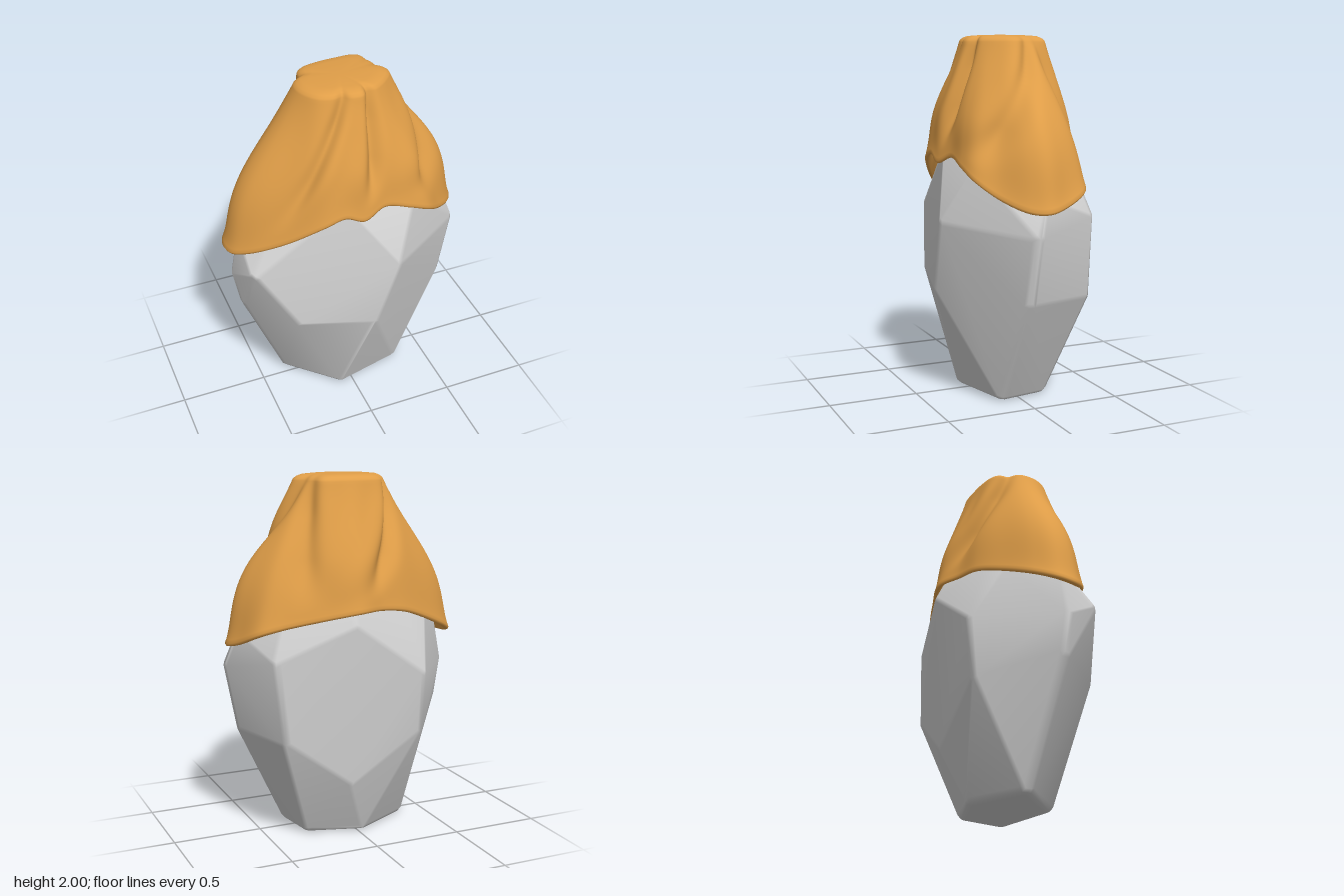
import * as THREE from 'three';
import { ConvexGeometry } from 'three/addons/geometries/ConvexGeometry.js';
import { mergeVertices } from 'three/addons/utils/BufferGeometryUtils.js';

const stoneGrey = new THREE.MeshStandardMaterial({ color: 0xd0d0d0 });
const clothOrange = new THREE.MeshStandardMaterial({ color: 0xe09e48 });
const { lerp, smoothstep, degToRad } = THREE.MathUtils;

// Corners of the cut stone
const STONE = [
  // base
  [0.335, 0, 0.11], [0.295, 0, -0.16], [-0.03, 0, -0.27], [-0.365, 0, -0.075], [-0.085, 0, 0.225],
  // waist
  [0.06, 0.62, 0.408], [-0.39, 0.66, 0.295], [0.605, 0.61, 0.07], [0.48, 0.6, -0.325],
  [0.1, 0.34, -0.372], [-0.34, 0.59, -0.362], [-0.615, 0.69, 0.02],
  // shoulder
  [0.2, 1.0, 0.418], [-0.6, 0.99, 0.205], [0.675, 0.96, 0.06], [0.53, 1.03, -0.315],
  [0.1, 1.2, -0.422], [-0.34, 0.92, -0.395], [-0.655, 0.9, 0.03],
  // upper part under the cloth
  [0.34, 1.28, 0.28], [-0.1, 1.36, 0.29], [0.62, 1.14, 0], [-0.61, 1.14, 0.03],
  [-0.43, 1.22, -0.21], [-0.27, 1.28, -0.275], [0.25, 1.28, -0.325], [0.46, 1.22, -0.26],
  [0.08, 1.4, -0.33], [0.2, 1.65, 0], [-0.2, 1.65, 0],
];

// Hull of small balls set at the corners gives softened edges
function stoneGeometry() {
  const radius = 0.05;
  const ball = mergeVertices(new THREE.IcosahedronGeometry(radius, 1).deleteAttribute('normal').deleteAttribute('uv'));
  const pos = ball.getAttribute('position'), points = [];
  for (const [x, y, z] of STONE) {
    const inset = 1 - radius / Math.hypot(x, z);
    const p = new THREE.Vector3(x * inset, Math.max(y, radius), z * inset);
    for (let i = 0; i < pos.count; i++) points.push(new THREE.Vector3().fromBufferAttribute(pos, i).add(p));
  }
  const hull = new ConvexGeometry(points);
  hull.deleteAttribute('normal');
  const g = mergeVertices(hull, 1e-4);
  g.computeVertexNormals();
  return g;
}

// Lower edge of the cloth
const HEM = [
  [0.68, 1.095, 0], [0.64, 1.1, 0.09], [0.52, 1.16, 0.21], [0.4, 1.25, 0.31], [0.28, 1.31, 0.335],
  [0.13, 1.355, 0.335], [0, 1.315, 0.365], [-0.11, 1.355, 0.36], [-0.22, 1.32, 0.35],
  [-0.42, 1.2, 0.255], [-0.6, 1.11, 0.14], [-0.67, 1.08, 0.06], [-0.68, 1.085, -0.04],
  [-0.6, 1.13, -0.14], [-0.42, 1.21, -0.25], [-0.25, 1.27, -0.325], [-0.1, 1.29, -0.36],
  [0.06, 1.29, -0.42], [0.25, 1.26, -0.375], [0.45, 1.22, -0.31], [0.58, 1.18, -0.25], [0.65, 1.12, -0.11],
];
// Gathered top edge of the cloth
const CROWN = [
  [0.27, 1.96, 0], [0.22, 1.96, 0.1], [0.08, 1.96, 0.19], [-0.06, 1.96, 0.19], [-0.18, 1.96, 0.15],
  [-0.245, 1.96, 0.04], [-0.235, 1.96, -0.07], [-0.14, 1.96, -0.18], [0.05, 1.96, -0.215], [0.2, 1.96, -0.19],
];
// Folds: angle at top, angle at hem, depth, width (degrees), side of the ridge
const FOLDS = [
  [63, 84, 0.055, 8, 1], [-14, 45, 0.05, 9, 1], [-31, -46, 0.04, 10, -1],
  [-153, -88, 0.05, 10, 1], [108, 158, 0.04, 8, -1],
];

// Turns a closed loop into a lookup of radius and height by angle
function polar(loop) {
  const curve = new THREE.CatmullRomCurve3(loop.map(p => new THREE.Vector3(...p)), true);
  const s = curve.getPoints(600).map(p => ({ a: Math.atan2(p.z, p.x), r: Math.hypot(p.x, p.z), y: p.y }));
  s.sort((p, q) => p.a - q.a);
  const first = s[0], last = s[s.length - 1];
  s.unshift({ ...last, a: last.a - 2 * Math.PI });
  s.push({ ...first, a: first.a + 2 * Math.PI });
  return a => {
    let i = 1;
    while (i < s.length - 1 && s[i].a < a) i++;
    const p = s[i - 1], q = s[i], k = (a - p.a) / Math.max(q.a - p.a, 1e-9);
    return { r: lerp(p.r, q.r, k), y: lerp(p.y, q.y, k) };
  };
}

function foldOffset(a, t) {
  const strength = smoothstep(t, 0.06, 0.45) * (1 - 0.4 * smoothstep(t, 0.75, 1));
  let sum = 0;
  for (const [top, low, depth, width, side] of FOLDS) {
    const diff = a - degToRad(lerp(low, top, t));
    const d = Math.atan2(Math.sin(diff), Math.cos(diff)) / degToRad(width);
    sum += depth * strength * (0.25 * Math.exp(-(((d - 2 * side) / 1.4) ** 2)) - Math.exp(-d * d));
  }
  return sum;
}

function clothGeometry() {
  const N = 240, hem = polar(HEM), crown = polar(CROWN);
  // each row: height along the wall t, radius scale k, lift dy
  const rows = [[1, 0, 0.04], [1, 0.35, 0.039], [1, 0.65, 0.036], [1, 0.82, 0.032], [1, 0.92, 0.022], [1, 0.98, 0.01]];
  for (let i = 0; i <= 40; i++) rows.push([1 - i / 40, 1, 0]);
  // rolled hem and lining
  rows.push([0, 0.99, -0.012], [0, 0.97, -0.014], [0, 0.945, -0.004], [0.08, 0.93, 0], [0.3, 0.9, 0]);
  const pos = [], index = [];
  rows.forEach(([t, k, dy], i) => {
    for (let j = 0; j < N; j++) {
      const a = (j / N) * 2 * Math.PI - Math.PI, h = hem(a), c = crown(a);
      // the cloth swells most over the two side tips
      const bulge = (0.022 + 0.05 * Math.cos(a) ** 16) * Math.sin(Math.PI * t ** 0.8) ** 2;
      const r = (lerp(h.r, c.r, t) + bulge + foldOffset(a, t)) * k;
      pos.push(r * Math.cos(a), lerp(h.y, c.y, t) + dy, r * Math.sin(a));
      if (i < rows.length - 1) {
        const j2 = (j + 1) % N, p = i * N + j, q = i * N + j2;
        index.push(p, q, p + N, q, q + N, p + N);
      }
    }
  });
  const g = new THREE.BufferGeometry();
  g.setAttribute('position', new THREE.Float32BufferAttribute(pos, 3));
  g.setIndex(index);
  const merged = mergeVertices(g, 1e-5);
  merged.computeVertexNormals();
  return merged;
}

export function createModel() {
  const group = new THREE.Group();
  group.name = 'drapedStone';
  const stone = new THREE.Mesh(stoneGeometry(), stoneGrey);
  stone.name = 'stone';
  const cloth = new THREE.Mesh(clothGeometry(), clothOrange);
  cloth.name = 'clothCover';
  group.add(stone, cloth);
  return group;
}
